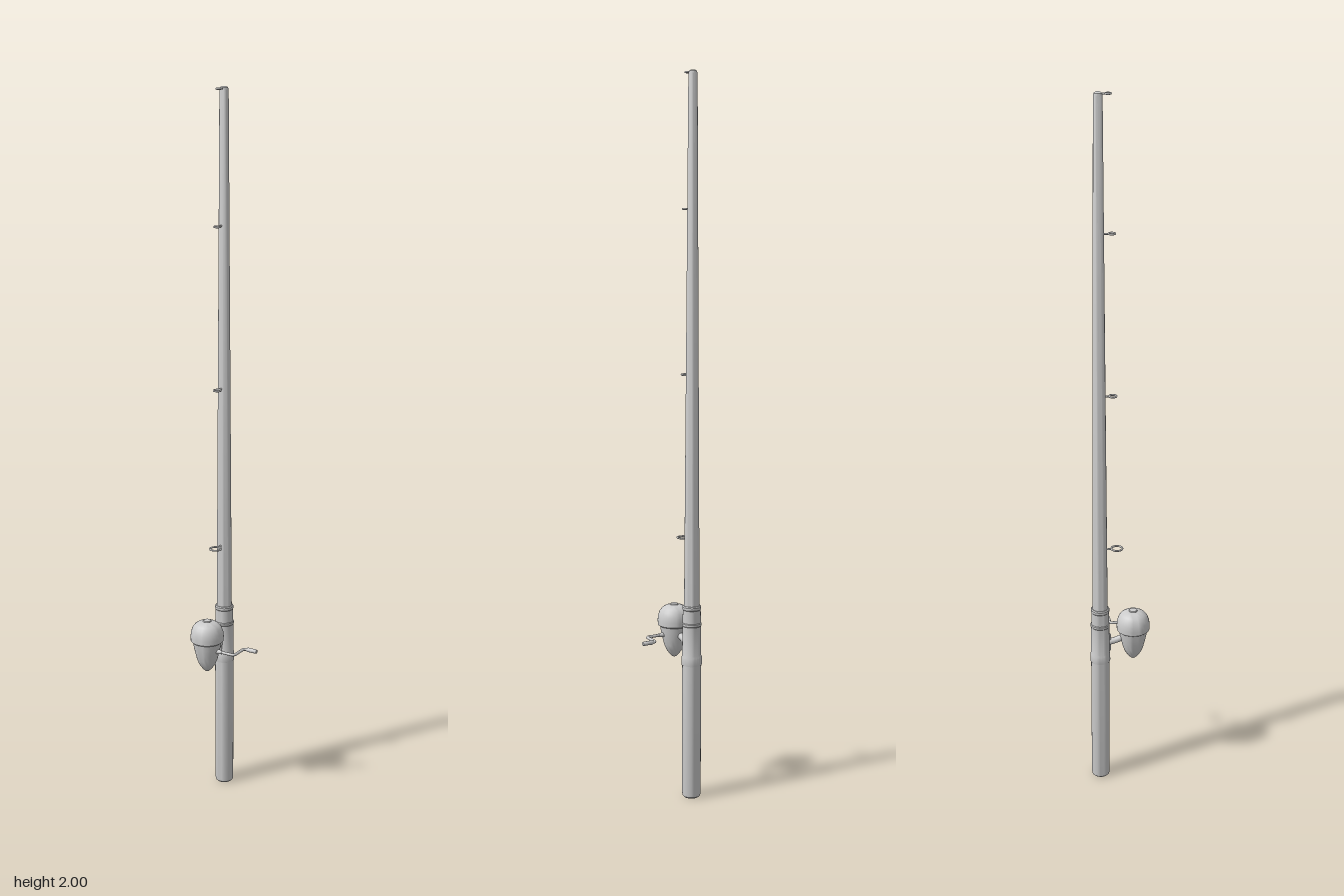
import * as THREE from 'three';
import { toCreasedNormals } from 'three/addons/utils/BufferGeometryUtils.js';

const ROD_X = -0.043, ROD_Z = -0.057, REEL_Z = 0.038;

export function createModel() {
  const group = new THREE.Group();
  const material = new THREE.MeshStandardMaterial({ color: 0xcccccc });

  const add = (name, geometry, x = 0, y = 0, z = 0, parent = group) => {
    const mesh = new THREE.Mesh(geometry, material);
    mesh.name = name;
    mesh.position.set(x, y, z);
    parent.add(mesh);
    return mesh;
  };
  // Profile of [radius, height] pairs, bottom to top
  const turned = (profile, sides = 24) => toCreasedNormals(
    new THREE.LatheGeometry(profile.map(([r, y]) => new THREE.Vector2(r, y)), sides), 0.6);

  // Rod
  const rodRadius = y => 0.0215 + (0.012 - 0.0215) * (y - 0.54) / 1.46;
  add('gripHandle', turned([[0, 0], [0.021, 0], [0.025, 0.004], [0.0262, 0.012], [0.0262, 0.385], [0, 0.385]]), ROD_X, 0, ROD_Z);
  add('reelSeat', turned([
    [0, 0.383], [0.028, 0.383], [0.0285, 0.386], [0.0285, 0.405], [0.0265, 0.411],
    [0.0258, 0.494], [0.0272, 0.496], [0.0272, 0.502], [0.0252, 0.504],
    [0.0248, 0.54], [0.0262, 0.542], [0.0262, 0.549], [0.024, 0.552], [0, 0.552],
  ]), ROD_X, 0, ROD_Z);
  add('rodBlank', turned([
    [0, 0.54], [rodRadius(0.54), 0.54], [0.0122, 1.99], [0.0105, 1.997], [0.006, 2], [0, 2],
  ]), ROD_X, 0, ROD_Z);

  // Line guides: flat rings standing off the front of the blank
  for (const [y, ringZ, ringRadius] of [
    [0.735, -0.009, 0.0155], [1.19, -0.02, 0.0098], [1.637, -0.022, 0.0085], [1.995, -0.031, 0.0068],
  ]) {
    const guide = new THREE.Group();
    guide.name = 'lineGuide';
    guide.position.set(ROD_X, y, 0);
    group.add(guide);
    add('guideRing', new THREE.TorusGeometry(ringRadius, 0.0027, 8, 24).rotateX(Math.PI / 2), 0, 0, ringZ, guide);
    const back = ROD_Z + rodRadius(y) * 0.8, front = ringZ - ringRadius;
    const length = Math.max(front - back, 0.004);
    add('guideStem', new THREE.CylinderGeometry(0.0026, 0.0026, length, 10).rotateX(Math.PI / 2), 0, 0, back + length / 2, guide);
  }

  // Reel: tapered body, domed spool cover and cap button
  add('reelBody', turned([
    [0, 0.382], [0.006, 0.384], [0.014, 0.392], [0.023, 0.405], [0.029, 0.42],
    [0.034, 0.44], [0.038, 0.458], [0.0405, 0.478], [0, 0.478],
  ], 32), ROD_X, 0, REEL_Z);
  add('spoolCover', turned([
    [0, 0.474], [0.043, 0.474], [0.0465, 0.477], [0.047, 0.49], [0.0455, 0.503],
    [0.041, 0.516], [0.034, 0.525], [0.024, 0.531], [0.012, 0.534], [0, 0.535],
  ], 32), ROD_X, 0, REEL_Z);
  add('capButton', turned([[0, 0.53], [0.012, 0.53], [0.012, 0.535], [0.0105, 0.537], [0, 0.537]]), ROD_X, 0, REEL_Z);

  // Foot joining the reel to the seat
  const foot = new THREE.CatmullRomCurve3([
    new THREE.Vector3(ROD_X, 0.455, REEL_Z - 0.025),
    new THREE.Vector3(ROD_X, 0.445, -0.012),
    new THREE.Vector3(ROD_X, 0.44, ROD_Z + 0.02),
  ]);
  add('reelFoot', new THREE.TubeGeometry(foot, 12, 0.009, 12));
  add('footPlate', new THREE.CapsuleGeometry(0.007, 0.045, 6, 12), ROD_X, 0.44, ROD_Z + 0.024);

  // Crank: rounded-corner arm from the reel side, with a grip on the end
  const crank = new THREE.CurvePath();
  const v = (x, z) => new THREE.Vector3(x, 0.45, z);
  crank.add(new THREE.LineCurve3(v(-0.02, 0.04), v(0.036, 0.04)));
  crank.add(new THREE.QuadraticBezierCurve3(v(0.036, 0.04), v(0.046, 0.04), v(0.046, 0.03)));
  crank.add(new THREE.LineCurve3(v(0.046, 0.03), v(0.047, -0.005)));
  crank.add(new THREE.QuadraticBezierCurve3(v(0.047, -0.005), v(0.047, -0.014), v(0.057, -0.014)));
  crank.add(new THREE.LineCurve3(v(0.057, -0.014), v(0.075, -0.014)));
  add('crankArm', new THREE.TubeGeometry(crank, 60, 0.0042, 10));
  add('crankHub', new THREE.CylinderGeometry(0.005, 0.008, 0.022, 16).rotateZ(-Math.PI / 2), -0.004, 0.45, 0.04);
  const knob = turned([
    [0, 0], [0.005, 0], [0.0062, 0.003], [0.0058, 0.015], [0.0062, 0.028], [0.005, 0.031], [0, 0.031],
  ], 16).rotateZ(-Math.PI / 2);
  add('crankGrip', knob, 0.057, 0.45, -0.014);

  return group;
}
